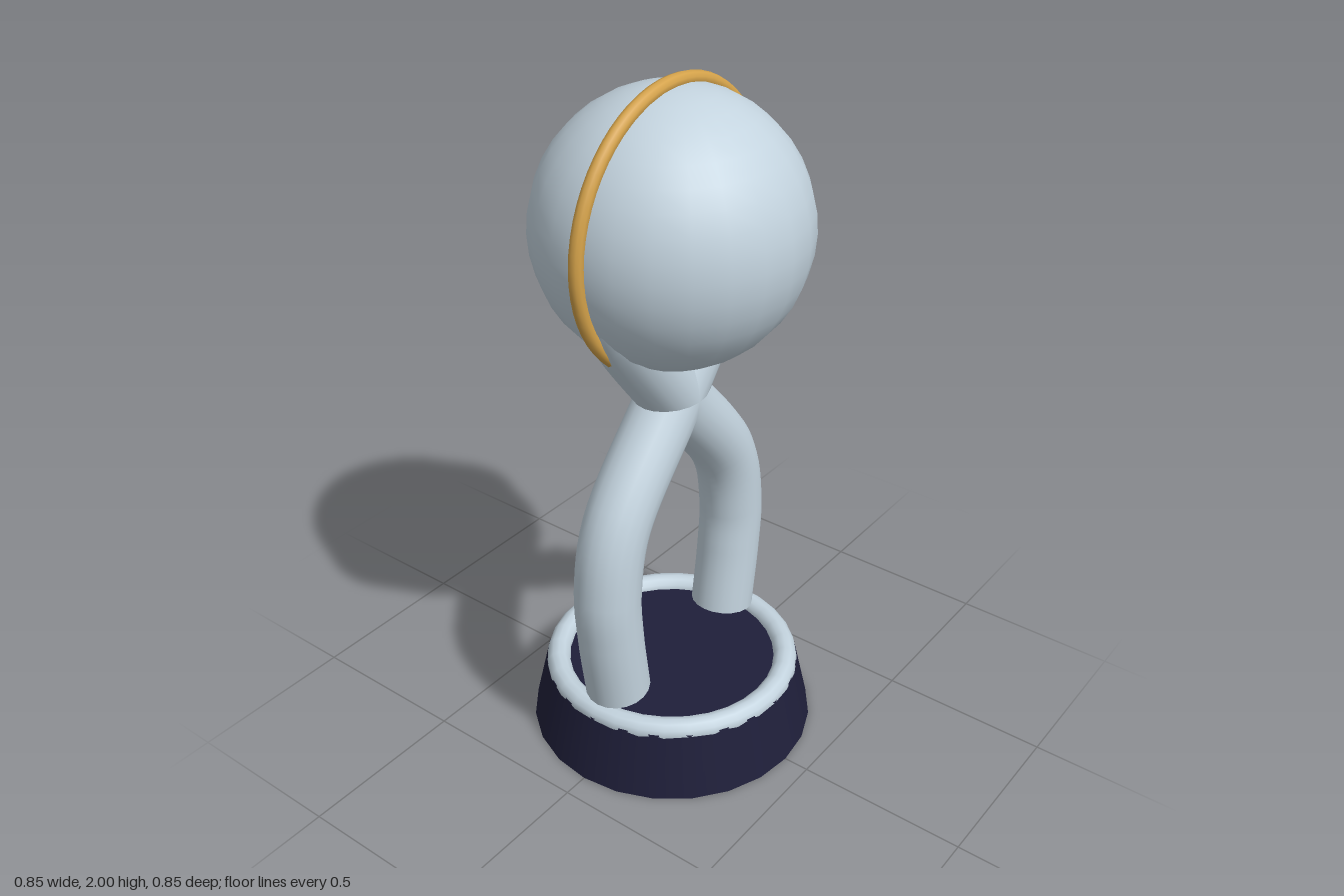
import * as THREE from 'three';

export function createModel() {
  const group = new THREE.Group();
  const mat = (name, color) => new THREE.MeshStandardMaterial({ name, color });
  const silver = mat('silver', 0xc3d3de);
  const gold = mat('gold', 0xd4a24a);
  const navy = mat('navy', 0x1f1f3a);

  const add = (name, geometry, material, y = 0) => {
    const mesh = new THREE.Mesh(geometry, material);
    mesh.name = name;
    mesh.position.y = y;
    group.add(mesh);
    return mesh;
  };

  // Tapered plinth with a rounded rim
  add('base', new THREE.CylinderGeometry(0.38, 0.425, 0.2, 24), navy, 0.1);
  add('baseRim', new THREE.TorusGeometry(0.345, 0.036, 12, 32), silver, 0.195).rotation.x = Math.PI / 2;

  // Two bowed stems that cross and run up into the ball
  const stemPath = [
    [0.26, 0.245], [0.288, 0.45], [0.295, 0.6], [0.25, 0.8],
    [0, 1.11], [-0.21, 1.39], [-0.25, 1.48],
  ];
  for (const [name, side] of [['leftStem', 1], ['rightStem', -1]]) {
    const curve = new THREE.CatmullRomCurve3(
      stemPath.map(([x, y]) => new THREE.Vector3(x * side, y, 0)));
    add(name, new THREE.TubeGeometry(curve, 40, 0.095, 20), silver);
  }

  // Ball
  add('ball', new THREE.SphereGeometry(0.375, 24, 20), silver, 1.6);

  // Gold band, open at the bottom
  const arc = Math.PI * 1.55;
  const band = add('band', new THREE.TorusGeometry(0.38, 0.02, 10, 48, arc), gold, 1.6);
  band.rotation.z = Math.PI / 2 - arc / 2;

  return group;
}
